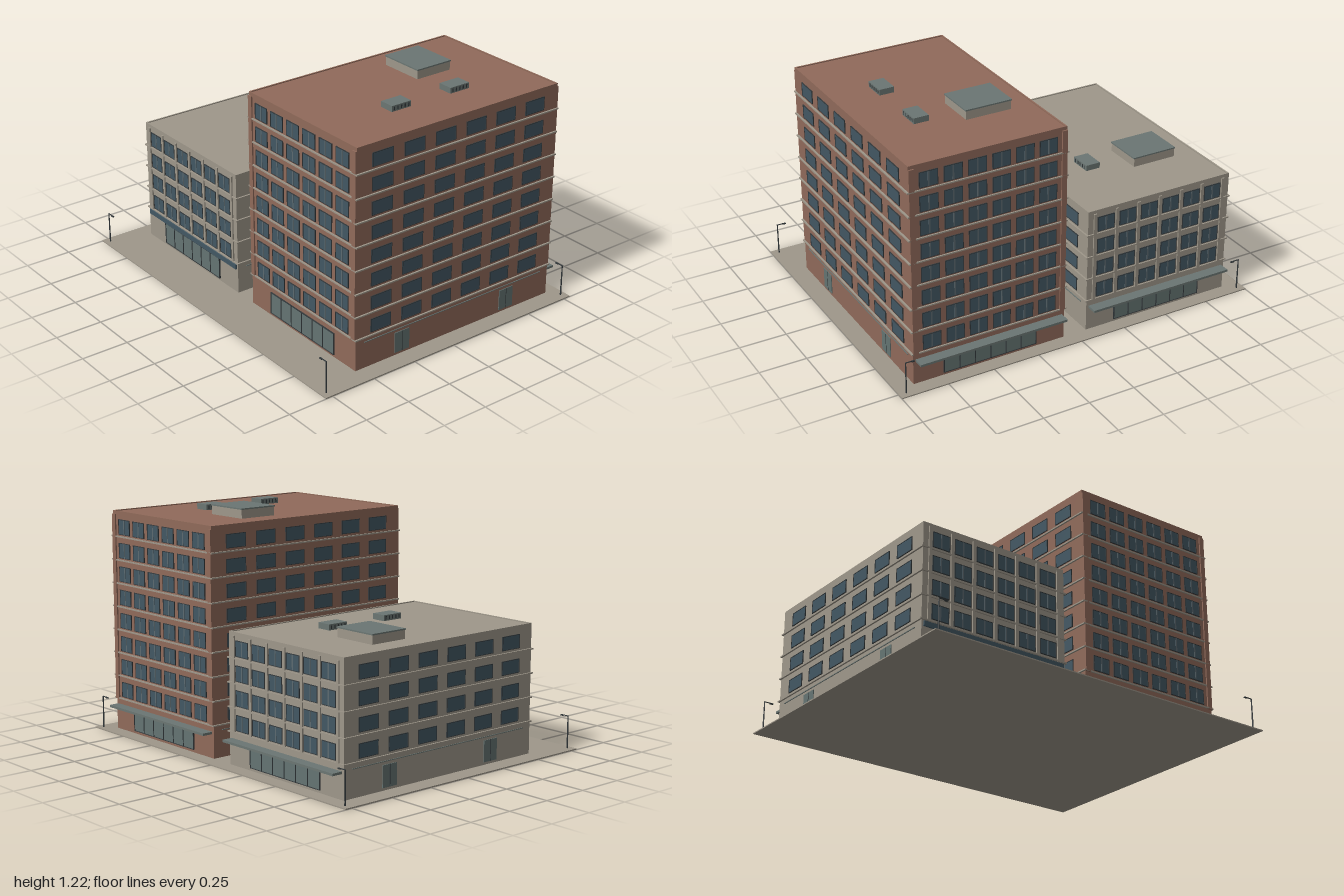
import * as THREE from 'three';
import { mergeGeometries } from 'three/addons/utils/BufferGeometryUtils.js';

const mat = (name, color) => {
  const m = new THREE.MeshStandardMaterial({ color });
  m.name = name;
  return m;
};

// Gathers boxes by part name, then merges each part into one mesh
class Parts {
  constructor(name) {
    this.group = new THREE.Group();
    this.group.name = name;
    this.lists = new Map();
  }
  add(name, material, geometry) {
    if (!this.lists.has(name)) this.lists.set(name, { material, geos: [] });
    this.lists.get(name).geos.push(geometry);
  }
  box(name, material, w, h, d, x, y, z) {
    this.add(name, material, new THREE.BoxGeometry(w, h, d).translate(x, y, z));
  }
  build() {
    for (const [name, { material, geos }] of this.lists) {
      const mesh = new THREE.Mesh(mergeGeometries(geos), material);
      mesh.name = name;
      this.group.add(mesh);
    }
    return this.group;
  }
}

const GROUND = 0.006, CZ = -0.088, W = 0.836, D = 1.25;
const FLOOR = 0.1235, FIRST = 0.225;

function building(name, cx, floors, height, wall, m, options) {
  const p = new Parts(name);

  // Box on a wall: u runs along the wall, d is how far it stands out
  const onWall = (part, material, side, u, y, w, h, d) => {
    const half = (side % 2 ? W : D) / 2;
    const g = new THREE.BoxGeometry(w, h, d).translate(u, y, half + d / 2);
    g.rotateY(side * Math.PI / 2).translate(cx, 0, CZ);
    p.add(part, material, g);
  };

  // Main block with a thin roof rim
  p.box('walls', wall, W, height - GROUND - 0.005, D, cx, (height + GROUND - 0.005) / 2, CZ);
  for (const s of [-1, 1]) {
    p.box('roofRim', wall, W, 0.006, 0.008, cx, height - 0.003, CZ + s * (D / 2 - 0.004));
    p.box('roofRim', wall, 0.008, 0.006, D, cx + s * (W / 2 - 0.004), height - 0.003, CZ);
  }

  for (let side = 0; side < 4; side++) {
    const wide = side % 2 === 1;
    const pitch = wide ? 0.19 : 0.1265;
    const w = wide ? 0.12 : 0.094, h = wide ? 0.068 : 0.077;
    for (let f = 0; f < floors; f++) {
      const y = FIRST + f * FLOOR;
      for (let i = 0; i < 6; i++) {
        const u = (i - 2.5) * pitch;
        onWall('windows', m.glass, side, u, y, w, h, 0.003);
        // Window frames, with a centre bar on the front and back
        for (const s of [-1, 1]) {
          onWall('windowFrames', m.frame, side, u + s * w / 2, y, 0.003, h, 0.005);
          onWall('windowFrames', m.frame, side, u, y + s * h / 2, w + 0.003, 0.003, 0.005);
        }
        if (!wide) onWall('windowBars', m.bar, side, u, y, 0.008, h, 0.005);
      }
    }
    // Upright ribs or corner piers on the front and back
    if (!wide) {
      const top = height - 0.018, bottom = 0.17;
      const count = options.ribs ? 7 : 2;
      for (let i = 0; i < count; i++) {
        const u = options.ribs ? (i - 3) * pitch : (i ? 1 : -1) * (W / 2 - 0.014);
        onWall('piers', wall, side, u, (top + bottom) / 2, options.ribs ? 0.016 : 0.028, top - bottom, 0.007);
      }
    }
  }

  // Stone ledges round every floor
  for (let f = 0; f < floors; f++) {
    p.box('floorLedges', m.stone, W + 0.018, 0.007, D + 0.014, cx, 0.174 + f * FLOOR, CZ);
  }

  // Shop fronts, six panes each
  for (const side of [0, 2]) {
    onWall('shopWindows', m.shop, side, 0, 0.08, 0.512, 0.115, 0.004);
    for (let i = 0; i <= 6; i++) onWall('shopFrames', m.frame, side, (i - 3) * 0.085, 0.08, 0.004, 0.118, 0.007);
    for (const y of [0.022, 0.138]) onWall('shopFrames', m.frame, side, 0, y, 0.514, 0.003, 0.007);
  }
  if (options.fascia) onWall('fascia', m.glass, 0, 0, 0.152, 0.815, 0.026, 0.008);
  onWall('rearCanopy', m.metal, 2, 0, 0.136, 0.81, 0.012, 0.057);

  // Side doors and a thin trim above them
  for (const side of [1, 3]) {
    for (const s of [-1, 1]) {
      onWall('sideDoors', m.shop, side, s * 0.34, 0.075, 0.09, 0.11, 0.004);
      onWall('doorSplits', m.frame, side, s * 0.34, 0.075, 0.003, 0.11, 0.005);
    }
    onWall('sideTrim', m.metal, side, 0, 0.147, 1.15, 0.004, 0.004);
  }

  // Roof plant room
  const px = cx - 0.163, pz = -0.312;
  p.box('plantRoom', m.stone, 0.244, 0.045, 0.21, px, height + 0.02, pz);
  p.box('plantRoomLid', m.metal, 0.252, 0.007, 0.216, px, height + 0.046, pz);

  // Roof vents with slats
  for (const z of [-0.275, 0.09]) {
    const x = cx + 0.153;
    p.box('roofVents', m.metal, 0.08, 0.03, 0.118, x, height + 0.011, z);
    for (let i = -2; i <= 2; i++) {
      for (const s of [-1, 1]) p.box('ventSlats', m.frame, 0.003, 0.018, 0.007, x + s * 0.0395, height + 0.011, z + i * 0.022);
    }
  }
  return p.build();
}

function streetLamps(m) {
  const p = new Parts('streetLamps');
  for (const sx of [-1, 1]) for (const z of [-0.76, 0.76]) {
    p.add('lampPosts', m.frame, new THREE.CylinderGeometry(0.003, 0.004, 0.17, 8).translate(sx * 0.963, 0.09, z));
    p.box('lampArms', m.frame, 0.046, 0.004, 0.004, sx * 0.942, 0.174, z);
    p.box('lampHeads', m.frame, 0.018, 0.005, 0.009, sx * 0.924, 0.172, z);
  }
  return p.build();
}

export function createModel() {
  const model = new THREE.Group();
  model.name = 'cityBlock';
  const m = {
    stone: mat('stone', 0x9e978a),
    brick: mat('brick', 0x906a5a),
    glass: mat('windowGlass', 0x425763),
    shop: mat('shopGlass', 0x647472),
    metal: mat('roofMetal', 0x6b7673),
    bar: mat('windowBar', 0x5c6a70),
    frame: mat('darkFrame', 0x33393c),
  };

  const ground = new THREE.Mesh(new THREE.BoxGeometry(2, GROUND, 1.58).translate(0, GROUND / 2, 0), m.stone);
  ground.name = 'pavement';
  model.add(ground);

  model.add(building('lowBuilding', -0.484, 4, 0.675, m.stone, m, { ribs: true, fascia: true }));
  model.add(building('tallBuilding', 0.482, 8, 1.172, m.brick, m, { ribs: false, fascia: false }));
  model.add(streetLamps(m));
  return model;
}
